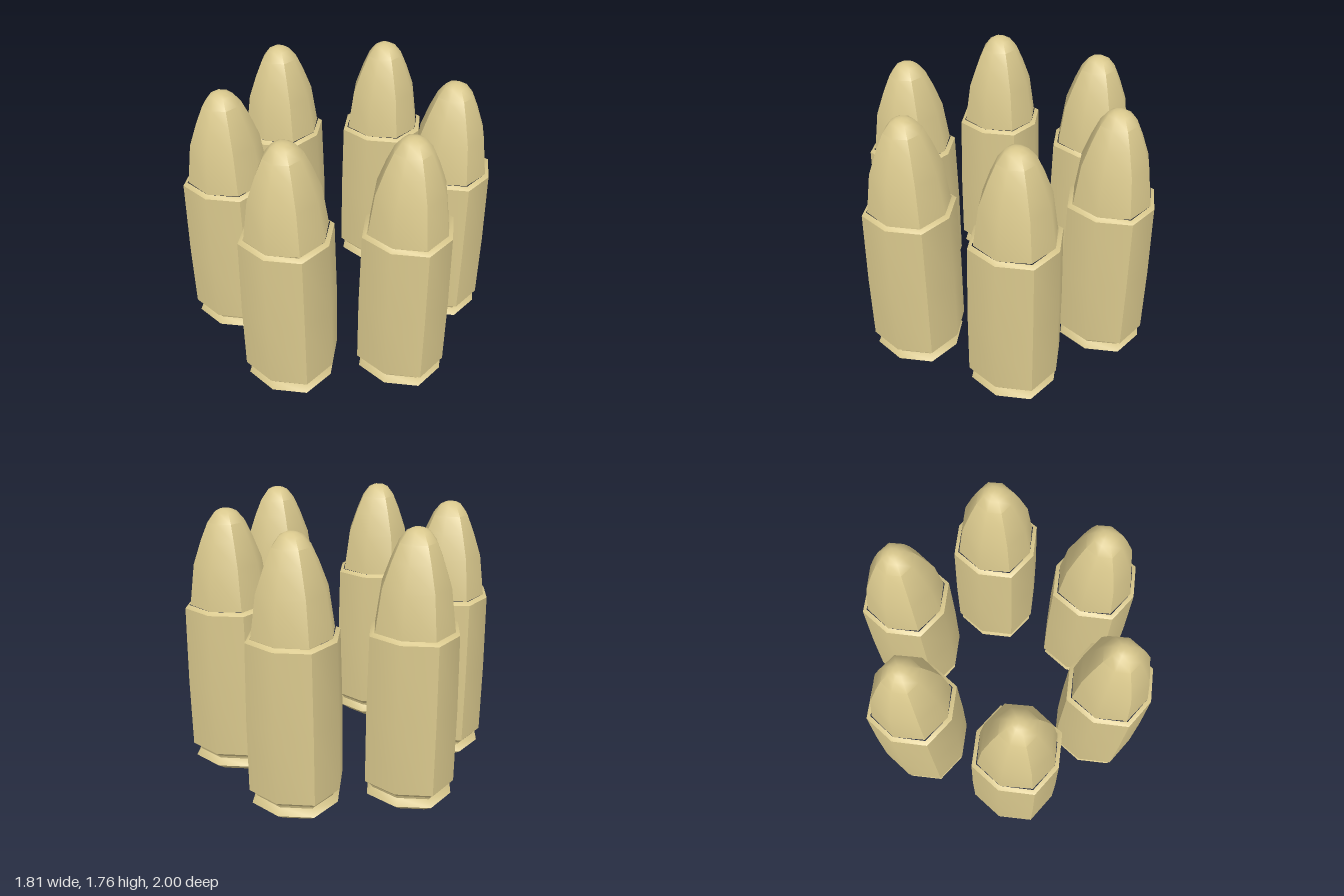
import * as THREE from 'three';
import { toCreasedNormals } from 'three/addons/utils/BufferGeometryUtils.js';

const CREASE = THREE.MathUtils.degToRad(45);

// Eight-sided turned part; the four diagonal corners are pushed out a little,
// so they stay sharp while the corners on the axes shade smoothly.
function turned(profile, diagonal) {
  const points = profile.map(([r, y]) => new THREE.Vector2(r, y));
  const geometry = new THREE.LatheGeometry(points, 8);
  const pos = geometry.attributes.position;
  for (let i = 0; i < pos.count; i++) {
    const x = pos.getX(i), z = pos.getZ(i);
    if (Math.abs(x) > 0.01 && Math.abs(z) > 0.01) {
      const k = diagonal / Math.SQRT1_2;
      pos.setX(i, x * k);
      pos.setZ(i, z * k);
    }
  }
  return toCreasedNormals(geometry, CREASE);
}

export function createModel() {
  const model = new THREE.Group();
  const brass = new THREE.MeshStandardMaterial({ color: 0xd8c78c });
  brass.name = 'brass';

  const parts = {
    // domed base, flared rim and extractor groove
    rim: turned([[0, 0], [0.2, 0.025], [0.275, 0.085], [0.243, 0.128], [0.25, 0.147]], 0.755),
    // lower bevel, slightly tapered wall and mouth bevel
    casing: turned([[0.25, 0.147], [0.287, 0.18], [0.285, 0.65], [0.273, 1.15], [0.247, 1.168]], 0.76),
    // ogive nose
    bullet: turned([[0.247, 1.168], [0.21, 1.43], [0.157, 1.58], [0.112, 1.685],
      [0.068, 1.743], [0.035, 1.76], [0, 1.765]], 0.74),
  };

  // six cartridges standing in a ring
  for (let i = 0; i < 6; i++) {
    const angle = (i * Math.PI) / 3;
    const cartridge = new THREE.Group();
    cartridge.name = `cartridge${i + 1}`;
    for (const [name, geometry] of Object.entries(parts)) {
      const mesh = new THREE.Mesh(geometry, brass);
      mesh.name = name;
      cartridge.add(mesh);
    }
    cartridge.position.set(0.713 * Math.sin(angle), 0, 0.713 * Math.cos(angle));
    model.add(cartridge);
  }
  return model;
}
